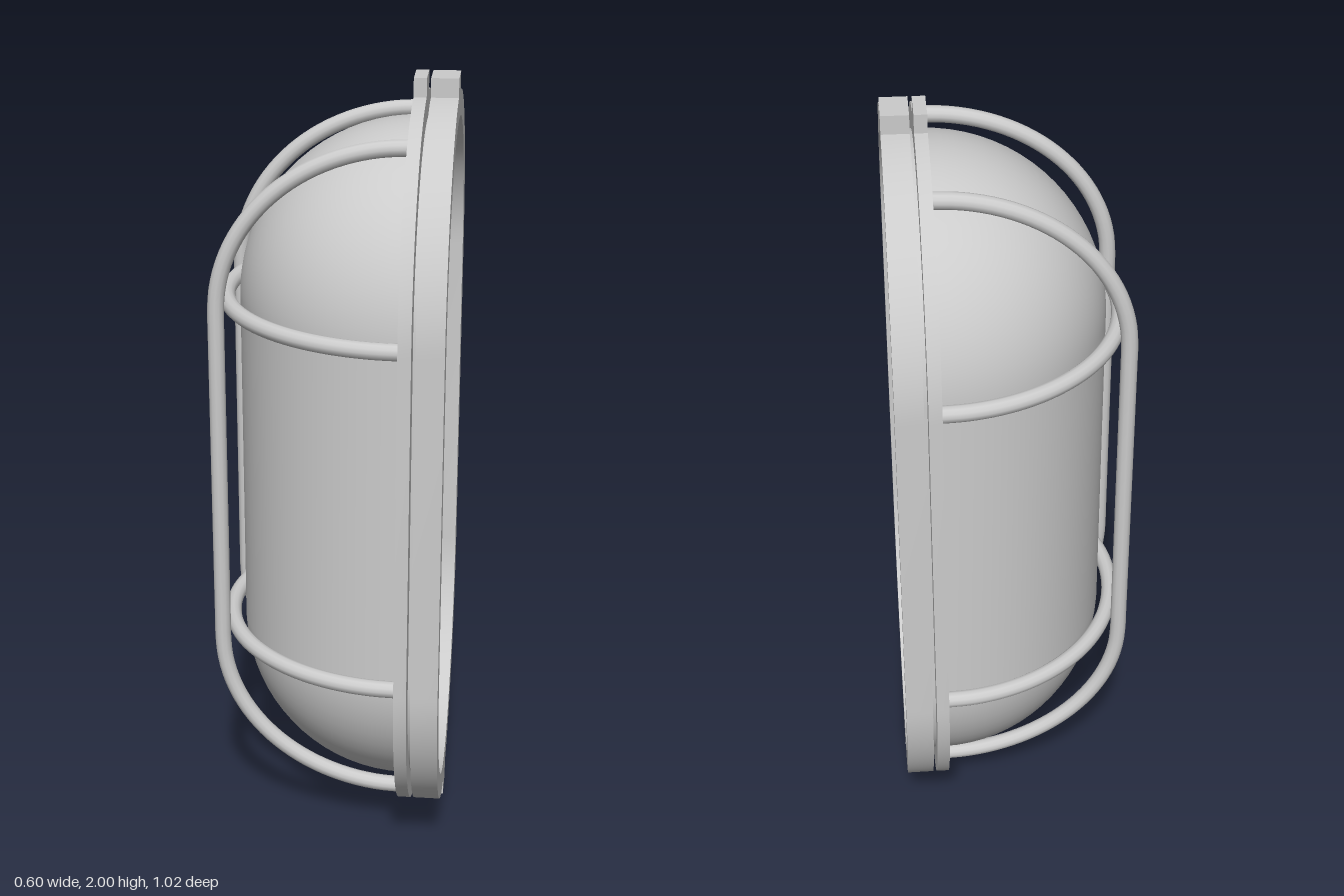
import * as THREE from 'three';
import { mergeVertices, toCreasedNormals } from 'three/addons/utils/BufferGeometryUtils.js';
import { ParametricGeometry } from 'three/addons/geometries/ParametricGeometry.js';

const HALF = 0.445;              // half length of the straight sides
const OUTER = 0.51, INNER = 0.445;
const SEAT = 0.19;               // x where the guard wires meet the frame
const grey = new THREE.MeshStandardMaterial({ color: 0xcccccc });
const greyDouble = new THREE.MeshStandardMaterial({ color: 0xcccccc, side: THREE.DoubleSide });

function addMesh(group, name, geometry, material = grey) {
  const mesh = new THREE.Mesh(geometry, material);
  mesh.name = name;
  group.add(mesh);
}

// Stadium-shaped frame with a small tab at each end, from x0 to x1
function frame(x0, x1) {
  const tab = 0.05, a = Math.acos(tab / OUTER);
  const s = new THREE.Shape();
  s.moveTo(OUTER, -HALF);
  s.absarc(0, HALF, OUTER, 0, a, false);
  s.lineTo(tab, 1);
  s.lineTo(-tab, 1);
  s.absarc(0, HALF, OUTER, Math.PI - a, Math.PI, false);
  s.absarc(0, -HALF, OUTER, Math.PI, 2 * Math.PI - a - (Math.PI - 2 * a), false);
  s.lineTo(-tab, -1);
  s.lineTo(tab, -1);
  s.absarc(0, -HALF, OUTER, 2 * Math.PI - a, 2 * Math.PI, false);
  const hole = new THREE.Path();
  hole.absarc(0, HALF, INNER, 0, Math.PI, false);
  hole.absarc(0, -HALF, INNER, Math.PI, 2 * Math.PI, false);
  s.holes.push(hole);
  const g = new THREE.ExtrudeGeometry(s, { depth: x1 - x0, bevelEnabled: false, curveSegments: 16 });
  g.rotateY(Math.PI / 2).translate(x0, 1, 0);
  return toCreasedNormals(g, 0.5);
}

// Half capsule: stadium sections shrinking along a quarter circle
function dome() {
  const arc = 32, cols = 2 * arc + 2, rows = 20;
  let g = new ParametricGeometry((u, v, p) => {
    const i = Math.round(u * cols) % cols, upper = i <= arc;
    const a = (upper ? i : i - 1) * Math.PI / arc;
    const row = Math.round(v * rows);
    const t = Math.max(0, row - 1) / (rows - 1) * Math.PI / 2;
    const r = INNER * Math.cos(t);
    const x = row === 0 ? 0.235 : 0.2 - INNER * Math.sin(t);
    p.set(x, 1 + (upper ? HALF : -HALF) + r * Math.sin(a), r * Math.cos(a));
  }, cols, rows);
  g.deleteAttribute('uv');
  g.deleteAttribute('normal');
  g = mergeVertices(g, 1e-5);
  g.computeVertexNormals();
  return g;
}

// Round wire bent along a list of points
function wire(points) {
  const path = new THREE.CurvePath();
  for (let i = 1; i < points.length; i++) path.add(new THREE.LineCurve3(points[i - 1], points[i]));
  const curve = new THREE.CatmullRomCurve3(points, false, 'centripetal');
  return new THREE.TubeGeometry(curve, 96, 0.021, 12, false);
}

export function createModel() {
  const group = new THREE.Group();
  addMesh(group, 'baseFrame', frame(0.232, 0.3));
  addMesh(group, 'guardFrame', frame(SEAT, 0.222));
  addMesh(group, 'glassDome', dome(), greyDouble);

  // Half-round wires across the dome
  const reach = 0.469;
  for (const y of [1 - HALF, 1 + HALF]) {
    const pts = [];
    for (let i = 0; i <= 24; i++) {
      const a = i / 24 * Math.PI;
      pts.push(new THREE.Vector3(SEAT + 0.005 - (reach + 0.005) * Math.sin(a), y, reach * Math.cos(a)));
    }
    addMesh(group, 'crossWire', wire(pts));
  }

  // Long wires with rounded ends running along the dome
  for (const z of [-0.222, 0.222]) {
    const pts = [];
    for (const side of [1, -1]) {
      for (let i = 0; i <= 12; i++) {
        const a = (side > 0 ? i : 12 - i) / 12 * Math.PI / 2;
        pts.push(new THREE.Vector3(SEAT + 0.005 - 0.474 * Math.sin(a), 1 + side * (HALF + 0.424 * Math.cos(a)), z));
      }
      if (side > 0) for (const y of [1.4, 1.2, 1, 0.8, 0.6]) pts.push(new THREE.Vector3(-0.279, y, z));
    }
    addMesh(group, 'longWire', wire(pts));
  }
  return group;
}
